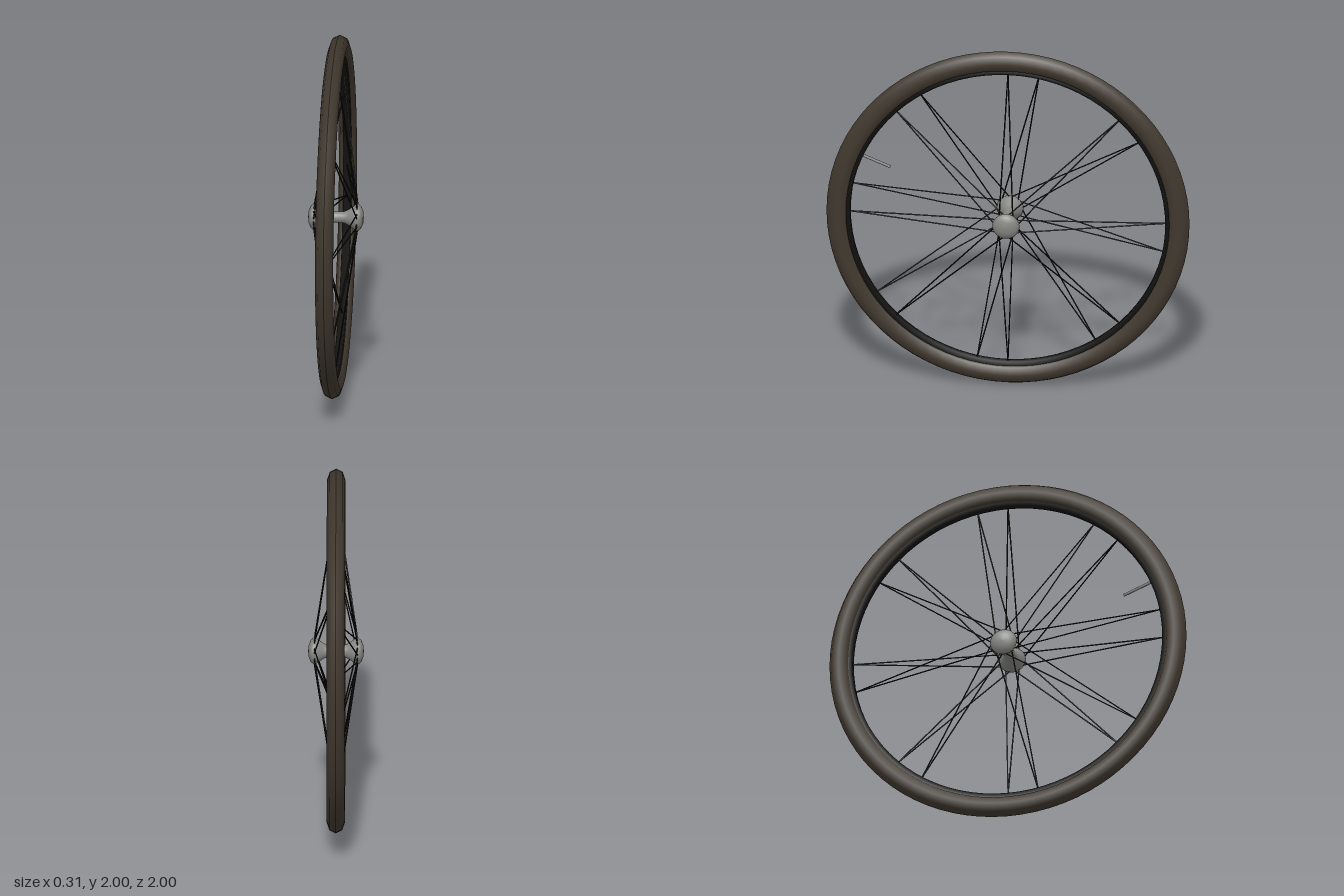
import * as THREE from 'three';

export function createModel() {
  const wheel = new THREE.Group();
  wheel.name = 'wheel';

  const material = (name, color, side = THREE.FrontSide) => {
    const m = new THREE.MeshStandardMaterial({ color, side });
    m.name = name;
    return m;
  };
  const rubber = material('brown rubber', 0x40382e);
  const black = material('black metal', 0x141312);
  const steel = material('grey steel', 0x858582);

  const add = (name, geometry, mat, parent = wheel) => {
    const mesh = new THREE.Mesh(geometry, mat);
    mesh.name = name;
    parent.add(mesh);
    return mesh;
  };

  // Turns a [radius, x] profile around the axle (the x axis)
  const turned = (profile, segments) =>
    new THREE.LatheGeometry(profile.map(([r, x]) => new THREE.Vector2(r, x)), segments)
      .rotateZ(-Math.PI / 2);

  // Thin rod between two points
  const rod = (name, a, b, radius, sides, mat, parent) => {
    const dir = b.clone().sub(a);
    const mesh = add(name, new THREE.CylinderGeometry(radius, radius, dir.length(), sides), mat, parent);
    mesh.position.copy(a).add(b).multiplyScalar(0.5);
    mesh.quaternion.setFromUnitVectors(new THREE.Vector3(0, 1, 0), dir.normalize());
    return mesh;
  };

  // Point at an angle turned from the top towards the back
  const around = (x, radius, angle) =>
    new THREE.Vector3(x, radius * Math.cos(angle), -radius * Math.sin(angle));

  // Tyre with an eight-sided section
  const section = [];
  for (let i = 0; i <= 8; i++) {
    const t = (i / 8) * Math.PI * 2;
    section.push([0.94 + 0.06 * Math.cos(t), 0.05 * Math.sin(t)]);
  }
  add('tyre', turned(section, 80), rubber);

  // Narrow rim inside the tyre
  add('rim', turned([[0.9, -0.025], [0.9, 0.025], [0.868, 0.02], [0.868, -0.02], [0.9, -0.025]], 80), black);

  // Spool-shaped hub with domed ends
  const half = [[0, 0.153], [0.033, 0.15], [0.06, 0.139], [0.075, 0.122], [0.066, 0.1], [0.045, 0.072], [0.032, 0.045]];
  const hubProfile = [
    ...half.map(([r, x]) => [r, -x]),
    [0.03, 0],
    ...half.slice().reverse(),
  ];
  add('hub', turned(hubProfile, 24), steel);

  // Paired spokes: eight pairs from each hub flange, the two sides staggered
  const spokes = new THREE.Group();
  spokes.name = 'spokes';
  wheel.add(spokes);
  for (const side of [1, -1]) {
    const stagger = side > 0 ? 0 : THREE.MathUtils.degToRad(11.25);
    const spread = THREE.MathUtils.degToRad(side > 0 ? 36 : 44);
    for (let k = 0; k < 8; k++) {
      const angle = (k * Math.PI) / 4;
      for (const leg of [1, -1]) {
        rod('spoke', around(side * 0.12, 0.064, angle + leg * spread),
          around(0, 0.872, angle + stagger), 0.0038, 6, black, spokes);
      }
    }
  }

  // Valve stem pointing to the hub
  const valveAngle = THREE.MathUtils.degToRad(-67);
  rod('valve', around(0, 0.88, valveAngle), around(0, 0.704, valveAngle), 0.008, 10, steel);

  wheel.position.y = 1;
  const model = new THREE.Group();
  model.name = 'bicycleWheel';
  model.add(wheel);
  return model;
}
